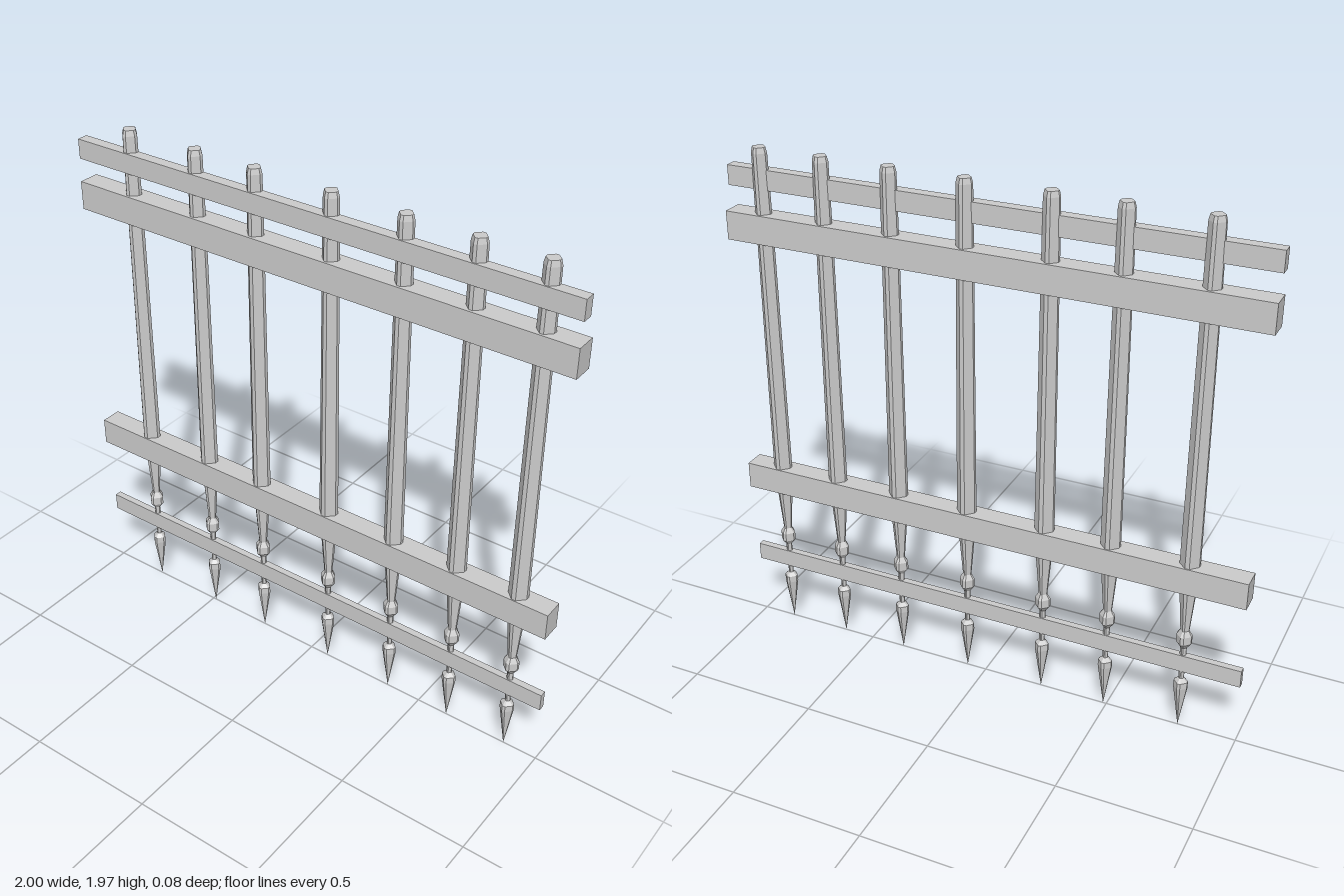
import * as THREE from 'three';

// Pale half-width and height, from the spear tip up to the blunt top
const PALE_PROFILE = [
  [0, 0], [0.026, 0.175], [0.025, 0.2], [0.01, 0.215], [0.012, 0.35],
  [0.028, 0.372], [0.028, 0.405], [0.016, 0.425], [0.03, 0.6], [0.036, 0.65],
  [0.036, 0.72], [0.031, 1.73], [0.029, 1.95], [0.024, 1.97], [0, 1.97],
];
const PALE_X = [-0.78, -0.487, -0.233, 0.077, 0.36, 0.622, 0.867];

// Rails: name, bottom, top, back, front
const RAILS = [
  ['topRail', 1.816, 1.89, -0.008, 0.034],
  ['upperRail', 1.623, 1.73, -0.04, 0.04],
  ['lowerRail', 0.599, 0.703, -0.04, 0.04],
  ['bottomRail', 0.249, 0.318, -0.013, 0.013],
];

// Eight-sided turning whose sides are squeezed into a diamond with clipped corners
function paleGeometry() {
  const geometry = new THREE.LatheGeometry(
    PALE_PROFILE.map(([r, y]) => new THREE.Vector2(r, y)), 8);
  const pos = geometry.attributes.position;
  const rows = PALE_PROFILE.length;
  for (let i = 0; i < pos.count; i++) {
    const side = Math.floor(i / rows) % 8;
    const angle = Math.floor(side / 2) * Math.PI / 2 + (side % 2 ? 0.22 : -0.22);
    const r = PALE_PROFILE[i % rows][0] * 1.02;
    pos.setX(i, r * Math.sin(angle));
    pos.setZ(i, r * Math.cos(angle));
  }
  const flat = geometry.toNonIndexed();
  flat.computeVertexNormals();
  return flat;
}

export function createModel() {
  const group = new THREE.Group();
  group.name = 'fencePanel';
  const material = new THREE.MeshStandardMaterial({ color: 0xcccccc, flatShading: true });

  // Upright pales with pointed lower ends
  const pale = paleGeometry();
  PALE_X.forEach((x, i) => {
    const mesh = new THREE.Mesh(pale, material);
    mesh.name = `pale${i + 1}`;
    mesh.position.x = x;
    group.add(mesh);
  });

  // Horizontal rails
  for (const [name, y0, y1, z0, z1] of RAILS) {
    const mesh = new THREE.Mesh(new THREE.BoxGeometry(2, y1 - y0, z1 - z0), material);
    mesh.name = name;
    mesh.position.set(0, (y0 + y1) / 2, (z0 + z1) / 2);
    group.add(mesh);
  }
  return group;
}
